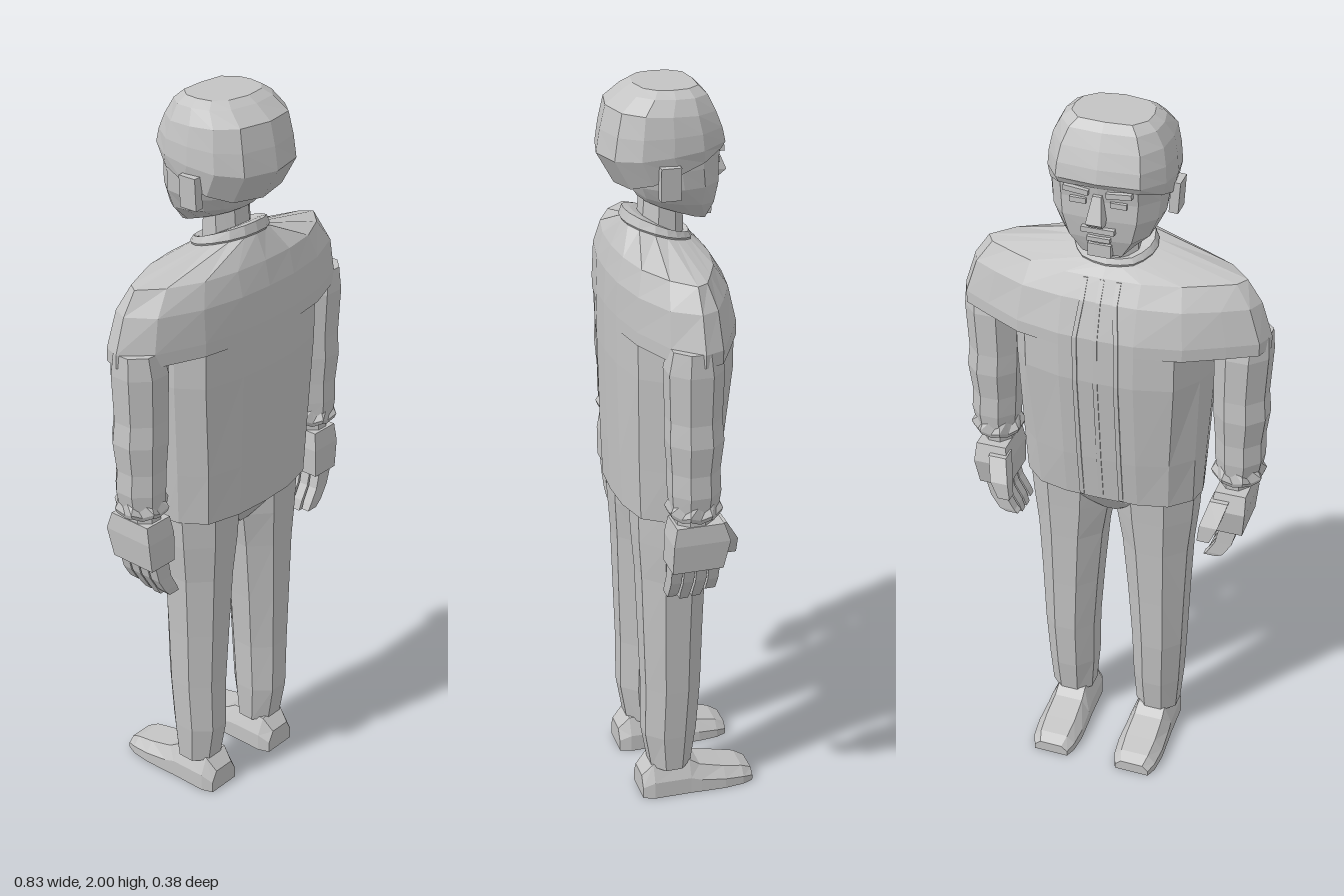
import * as THREE from 'three';

const grey = new THREE.MeshStandardMaterial({ color: 0xc4c4c4, flatShading: true });
grey.name = 'plain grey';

// Skin closed rings of [x, y, z] points in order, with both ends capped; always wound outwards
function loft(name, rings) {
  const tris = [];
  const n = rings[0].length;
  for (let r = 0; r < rings.length - 1; r++) {
    for (let i = 0; i < n; i++) {
      const j = (i + 1) % n, a = rings[r], b = rings[r + 1];
      tris.push([a[i], a[j], b[j]], [a[i], b[j], b[i]]);
    }
  }
  const cap = (ring, flip) => {
    const c = [0, 1, 2].map((k) => ring.reduce((s, p) => s + p[k], 0) / n);
    for (let i = 0; i < n; i++) {
      const j = (i + 1) % n;
      tris.push(flip ? [c, ring[j], ring[i]] : [c, ring[i], ring[j]]);
    }
  };
  cap(rings[0], true);
  cap(rings[rings.length - 1], false);
  let volume = 0;
  for (const [a, b, c] of tris) {
    volume += a[0] * (b[1] * c[2] - b[2] * c[1]) + a[1] * (b[2] * c[0] - b[0] * c[2]) + a[2] * (b[0] * c[1] - b[1] * c[0]);
  }
  if (volume < 0) tris.forEach((t) => t.reverse());
  const g = new THREE.BufferGeometry();
  g.setAttribute('position', new THREE.Float32BufferAttribute(tris.flat(2), 3));
  g.computeVertexNormals();
  const m = new THREE.Mesh(g, grey);
  m.name = name;
  return m;
}

// Mirror a half outline of [x, z] running from back centre to front centre
const mirrorHalf = (half) => [...half, ...half.slice(1, -1).reverse().map(([x, z]) => [-x, z])];

// Place an outline at a height that runs from yBack to yFront
function level(outline, yBack, yFront) {
  const zs = outline.map((p) => p[1]);
  const hi = Math.max(...zs), lo = Math.min(...zs);
  return outline.map(([x, z]) => [x, yFront + (yBack - yFront) * (z - lo) / (hi - lo), z]);
}

// Level ring with flat sides, given its x and z extents
function oval(y, x0, x1, z0, z1, n = 8) {
  const k = 1 / Math.cos(Math.PI / n);
  return Array.from({ length: n }, (_, i) => {
    const a = (i + 0.5) * 2 * Math.PI / n;
    return [(x0 + x1) / 2 + k * Math.cos(a) * (x1 - x0) / 2, y, (z0 + z1) / 2 + k * Math.sin(a) * (z1 - z0) / 2];
  });
}

// Level rectangle around a point
const rect = (x, y, z, w, d) => [[x - w / 2, y, z - d / 2], [x + w / 2, y, z - d / 2], [x + w / 2, y, z + d / 2], [x - w / 2, y, z + d / 2]];

function box(name, w, h, d, x, y, z, rx = 0, rz = 0) {
  const m = new THREE.Mesh(new THREE.BoxGeometry(w, h, d), grey);
  m.position.set(x, y, z);
  m.rotation.set(rx, 0, rz);
  m.name = name;
  return m;
}

// Head section: half width, back and front depth
const headPlan = [[0, 1], [0.62, 0.86], [0.92, 0.5], [1, 0], [0.96, -0.5], [0.68, -0.93], [0, -1]];
function headRing([yBack, yFront, w, zb, zf]) {
  const half = headPlan.map(([x, z]) => [x * w, (zb + zf) / 2 + z * (zb - zf) / 2]);
  return level(mirrorHalf(half), yBack, yFront);
}

function makeHead() {
  const g = new THREE.Group();
  g.name = 'head';
  g.add(loft('hair', [
    [2, 2, 0.1, 0.095, -0.06], [1.985, 1.98, 0.125, 0.12, -0.08], [1.95, 1.94, 0.146, 0.165, -0.1],
    [1.89, 1.9, 0.155, 0.18, -0.116], [1.83, 1.865, 0.158, 0.19, -0.124], [1.75, 1.85, 0.15, 0.145, -0.114],
  ].map(headRing)));
  g.add(loft('face', [
    [1.86, 1.87, 0.147, 0.15, -0.114], [1.8, 1.81, 0.145, 0.125, -0.106], [1.755, 1.76, 0.14, 0.11, -0.108],
    [1.725, 1.7, 0.118, 0.095, -0.1], [1.71, 1.65, 0.075, 0.085, -0.085],
  ].map(headRing)));
  g.add(loft('nose', [
    rect(0, 1.83, -0.108, 0.022, 0.02), rect(0, 1.765, -0.12, 0.042, 0.05), rect(0, 1.748, -0.11, 0.036, 0.03),
  ]));
  g.add(box('moustache', 0.085, 0.014, 0.018, 0, 1.733, -0.106));
  g.add(box('lowerLip', 0.06, 0.012, 0.016, 0, 1.706, -0.102));
  g.add(box('chin', 0.06, 0.035, 0.03, 0, 1.672, -0.088));
  for (const s of [1, -1]) {
    g.add(box('brow', 0.065, 0.014, 0.016, s * 0.055, 1.838, -0.11, 0, s * 0.1));
    g.add(box('eye', 0.042, 0.014, 0.009, s * 0.052, 1.808, -0.106));
    g.add(box('ear', 0.024, 0.085, 0.052, s * 0.154, 1.783, 0.043, 0, -s * 0.06));
  }
  g.add(loft('neck', [oval(1.58, -0.07, 0.07, -0.03, 0.085), oval(1.76, -0.062, 0.062, -0.025, 0.07)]));
  return g;
}

function makeJacket() {
  const g = new THREE.Group();
  g.name = 'jacket';
  const hem = [[0, 0.165], [0.1, 0.16], [0.195, 0.135], [0.24, 0.07], [0.247, 0.03], [0.235, -0.02], [0.18, -0.07], [0.1, -0.088], [0, -0.09]];
  const waist = [[0, 0.17], [0.1, 0.165], [0.2, 0.14], [0.248, 0.075], [0.254, 0.03], [0.24, -0.03], [0.185, -0.085], [0.1, -0.108], [0, -0.11]];
  const chest = [[0, 0.175], [0.1, 0.17], [0.215, 0.145], [0.262, 0.08], [0.27, 0.03], [0.25, -0.04], [0.2, -0.11], [0.1, -0.135], [0, -0.138]];
  g.add(loft('jacketBody', [[hem, 0.895], [waist, 1.04], [chest, 1.3], [chest, 1.41]].map(([h, y]) => level(mirrorHalf(h), y, y))));

  // Shoulders reach over the arms and close in on the neck
  const wide = [[0, 0.175], [0.1, 0.17], [0.22, 0.15], [0.35, 0.1], [0.415, 0.03], [0.395, -0.02], [0.32, -0.06], [0.22, -0.11], [0.1, -0.135], [0, -0.138]];
  const mid = [[0, 0.17], [0.1, 0.166], [0.22, 0.145], [0.335, 0.097], [0.385, 0.03], [0.365, -0.015], [0.3, -0.05], [0.21, -0.09], [0.1, -0.108], [0, -0.11]];
  const top = [[0, 0.155], [0.1, 0.15], [0.2, 0.13], [0.29, 0.085], [0.345, 0.03], [0.325, 0], [0.27, -0.025], [0.2, -0.055], [0.1, -0.075], [0, -0.078]];
  const throat = [[0, 0.125], [0.04, 0.12], [0.075, 0.1], [0.098, 0.065], [0.105, 0.035], [0.1, 0.01], [0.085, -0.015], [0.065, -0.035], [0.035, -0.045], [0, -0.05]];
  g.add(loft('shoulders', [[wide, 1.395, 1.395], [wide, 1.43, 1.43], [mid, 1.52, 1.525], [top, 1.585, 1.578], [throat, 1.65, 1.6]].map(([h, b, f]) => level(mirrorHalf(h), b, f))));

  // Standing collar, tilted down towards the front
  const scaled = (k) => mirrorHalf(throat).map(([x, z]) => [x * k, 0.037 + (z - 0.037) * k]);
  g.add(loft('collar', [level(scaled(0.92), 1.635, 1.575), level(scaled(1.04), 1.655, 1.605), level(scaled(0.95), 1.68, 1.618), level(scaled(0.72), 1.675, 1.612)]));

  // Raised edges of the front opening
  const front = [[0.9, -0.09], [1.04, -0.11], [1.3, -0.138], [1.43, -0.138], [1.525, -0.11], [1.575, -0.078]];
  for (const x of [-0.055, 0, 0.055]) {
    g.add(loft('frontEdge', front.map(([y, z]) => rect(x * (y > 1.5 ? 0.8 : 1), y, z + 0.002, 0.012, 0.009))));
  }
  return g;
}

function makeArm() {
  const g = new THREE.Group();
  g.name = 'arm';
  g.add(loft('sleeve', [
    [1.43, 0.285, 0.41, -0.02, 0.1], [1.37, 0.27, 0.414, -0.032, 0.11], [1.24, 0.272, 0.408, -0.028, 0.106],
    [1.18, 0.274, 0.414, -0.032, 0.108], [1.1, 0.28, 0.405, -0.024, 0.102], [1.04, 0.283, 0.408, -0.026, 0.102], [0.99, 0.288, 0.4, -0.02, 0.098],
  ].map((a) => oval(...a))));
  // Gathered cuff with a zigzag rim
  const frill = (y, r, wave) => Array.from({ length: 16 }, (_, i) => {
    const a = i * Math.PI / 8, k = r + (i % 2 ? wave : -wave);
    return [0.343 + k * Math.cos(a), y + (i % 2 ? wave : -wave), 0.038 + k * Math.sin(a)];
  });
  g.add(loft('cuff', [frill(1.02, 0.058, 0), frill(0.985, 0.069, 0.006), frill(0.972, 0.064, 0.006), frill(0.985, 0.045, 0)]));
  g.add(loft('wrist', [oval(1, 0.298, 0.38, -0.01, 0.085), oval(0.93, 0.298, 0.38, -0.01, 0.085)]));
  g.add(loft('palm', [
    rect(0.34, 0.95, 0.03, 0.085, 0.125), rect(0.338, 0.9, 0.026, 0.095, 0.15), rect(0.335, 0.82, 0.035, 0.085, 0.135),
  ]));
  // Four fingers curling inwards
  [0.085, 0.052, 0.019, -0.014].forEach((z, i) => {
    const tip = [0.715, 0.705, 0.708, 0.725][i];
    g.add(loft('finger', [
      rect(0.34, 0.84, z, 0.05, 0.03), rect(0.325, 0.775, z, 0.046, 0.028), rect(0.302, 0.735, z, 0.044, 0.027), rect(0.288, tip, z, 0.035, 0.023),
    ]));
  });
  g.add(loft('thumb', [
    rect(0.315, 0.93, -0.03, 0.05, 0.045), rect(0.298, 0.87, -0.068, 0.05, 0.042), rect(0.285, 0.82, -0.076, 0.034, 0.03),
  ]));
  return g;
}

function makeLeg() {
  const g = new THREE.Group();
  g.name = 'leg';
  g.add(loft('trouserLeg', [
    [0.92, 0.002, 0.235, -0.065, 0.135], [0.81, 0.012, 0.228, -0.058, 0.132], [0.7, 0.03, 0.217, -0.052, 0.125],
    [0.52, 0.046, 0.21, -0.045, 0.12], [0.35, 0.058, 0.205, -0.04, 0.115], [0.2, 0.062, 0.198, -0.03, 0.116], [0.09, 0.07, 0.19, -0.015, 0.098],
  ].map((a) => oval(...a))));
  // Shoe sections from heel to toe: z, half width, height
  const shoe = [[0.127, 0.048, 0.065], [0.095, 0.06, 0.1], [-0.01, 0.062, 0.098], [-0.04, 0.064, 0.078], [-0.11, 0.067, 0.06], [-0.165, 0.062, 0.048], [-0.195, 0.05, 0.032]];
  g.add(loft('shoe', shoe.map(([z, w, h]) => [[-w, 0], [w, 0], [w, h * 0.5], [w * 0.65, h], [-w * 0.65, h], [-w, h * 0.5]].map(([x, y]) => [0.124 + x, y, z]))));
  return g;
}

// Mirror a left-hand group to the right by reflecting its vertices
function mirrored(group) {
  const out = new THREE.Group();
  out.name = group.name;
  for (const m of group.children) {
    const p = m.geometry.attributes.position;
    const tris = [];
    for (let i = 0; i < p.count; i += 3) {
      for (const k of [i, i + 2, i + 1]) tris.push(-p.getX(k), p.getY(k), p.getZ(k));
    }
    const geo = new THREE.BufferGeometry();
    geo.setAttribute('position', new THREE.Float32BufferAttribute(tris, 3));
    geo.computeVertexNormals();
    const copy = new THREE.Mesh(geo, grey);
    copy.name = m.name;
    out.add(copy);
  }
  return out;
}

export function createModel() {
  const model = new THREE.Group();
  model.name = 'standingMan';
  model.add(makeHead(), makeJacket());
  for (const limb of [makeArm(), makeLeg()]) model.add(limb, mirrored(limb));
  model.add(loft('hips', [oval(0.93, -0.225, 0.225, -0.065, 0.135), oval(0.87, -0.2, 0.2, -0.06, 0.13), oval(0.81, -0.035, 0.035, -0.02, 0.09)]));
  return model;
}
